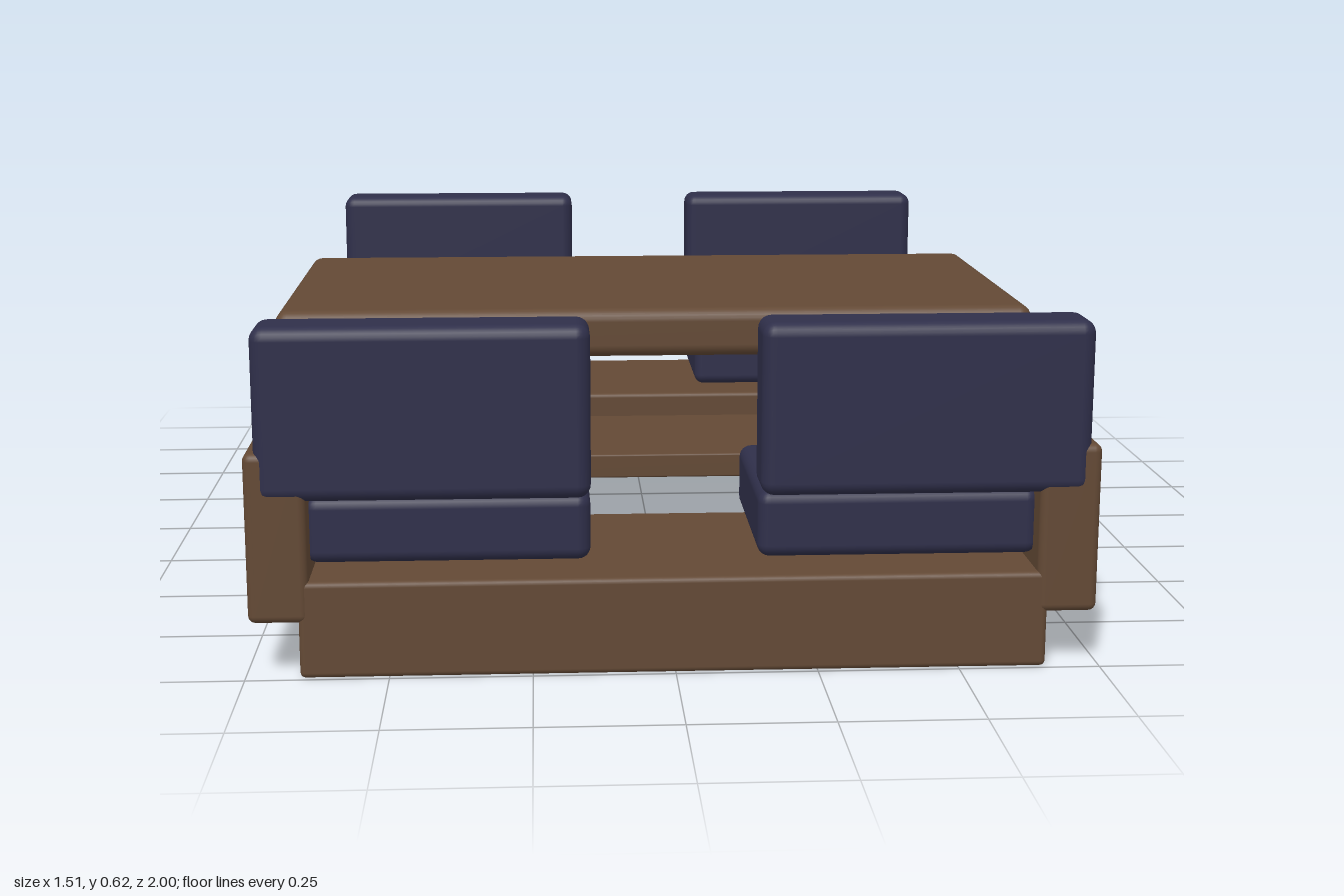
import * as THREE from 'three';
import { RoundedBoxGeometry } from 'three/addons/geometries/RoundedBoxGeometry.js';

const wood = new THREE.MeshStandardMaterial({ color: 0x634935 });
wood.name = 'brown wood';
const fabric = new THREE.MeshStandardMaterial({ color: 0x2f2f4a });
fabric.name = 'navy fabric';

// Rounded block given by its extents along each axis
function block(name, material, [x0, x1], [y0, y1], [z0, z1], radius) {
  const geometry = new RoundedBoxGeometry(x1 - x0, y1 - y0, z1 - z0, 3, radius);
  const mesh = new THREE.Mesh(geometry, material);
  mesh.name = name;
  mesh.position.set((x0 + x1) / 2, (y0 + y1) / 2, (z0 + z1) / 2);
  return mesh;
}

// Extent mirrored to the given side
const side = (s, a, b) => (s > 0 ? [a, b] : [-b, -a]);

function createTable() {
  const table = new THREE.Group();
  table.name = 'table';
  table.add(block('tableTop', wood, [-0.755, 0.755], [0.445, 0.542], [-0.385, 0.385], 0.025));
  table.add(block('tableShelf', wood, [-0.55, 0.55], [0.15, 0.2], [-0.19, 0.19], 0.004));
  for (const sx of [-1, 1]) {
    for (const sz of [-1, 1]) {
      table.add(block('tableLeg', wood, side(sx, 0.535, 0.632), [0, 0.447], side(sz, 0.185, 0.282), 0.017));
    }
  }
  return table;
}

// Two-seat bench whose back lies towards +z
function createBench() {
  const bench = new THREE.Group();
  bench.name = 'bench';
  bench.add(block('benchBase', wood, [-0.655, 0.655], [0, 0.173], [0.557, 0.995], 0.01));
  for (const s of [-1, 1]) {
    bench.add(block('armrest', wood, side(s, 0.636, 0.742), [0.1, 0.402], [0.555, 0.997], 0.014));
    bench.add(block('seatCushion', fabric, side(s, 0.147, 0.645), [0.192, 0.312], [0.57, 0.95], 0.022));
    bench.add(block('backCushion', fabric, side(s, 0.147, 0.724), [0.315, 0.62], [0.883, 1], 0.024));
  }
  return bench;
}

export function createModel() {
  const model = new THREE.Group();
  model.name = 'diningSet';
  model.add(createTable());
  // Facing pair of benches
  for (const turn of [0, Math.PI]) {
    const bench = createBench();
    bench.rotation.y = turn;
    model.add(bench);
  }
  return model;
}
